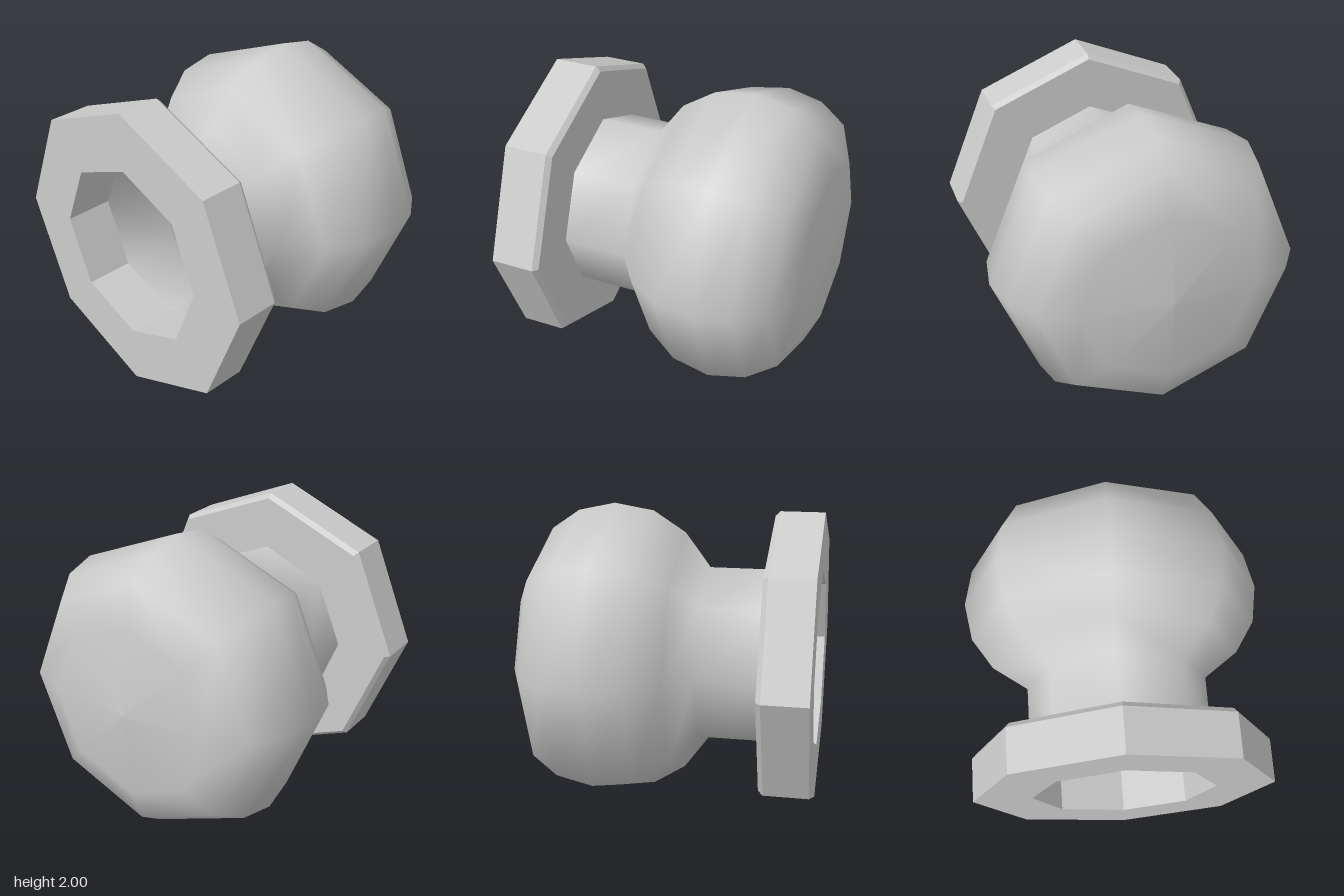
import * as THREE from 'three';
import { toCreasedNormals } from 'three/addons/utils/BufferGeometryUtils.js';

const SIDES = 8;
const NECK_R = 0.595;

// Eight-sided turned shape along z, from [radius, z] pairs
function turned(profile) {
  const points = profile.map(([r, z]) => new THREE.Vector2(r, z));
  return new THREE.LatheGeometry(points, SIDES).rotateX(Math.PI / 2);
}

export function createModel() {
  const group = new THREE.Group();
  const material = new THREE.MeshStandardMaterial({ color: 0xcccccc, side: THREE.DoubleSide });

  function add(name, geometry) {
    const mesh = new THREE.Mesh(geometry, material);
    mesh.name = name;
    mesh.position.y = 1;
    group.add(mesh);
  }

  // Hollow rounded grip running into a straight neck
  add('knobAndNeck', turned([
    [0, -0.976], [0.575, -0.926], [0.82, -0.822], [0.947, -0.637], [1, -0.393],
    [0.957, -0.133], [0.82, 0.08], [NECK_R, 0.244], [NECK_R, 0.663],
  ]));

  // Mounting plate with a bevelled rim and an open centre
  add('mountingPlate', toCreasedNormals(turned([
    [NECK_R, 0.663], [0.945, 0.663], [0.975, 0.695],
    [0.975, 0.98], [NECK_R, 0.98], [NECK_R, 0.663],
  ]), 0.5));

  return group;
}
